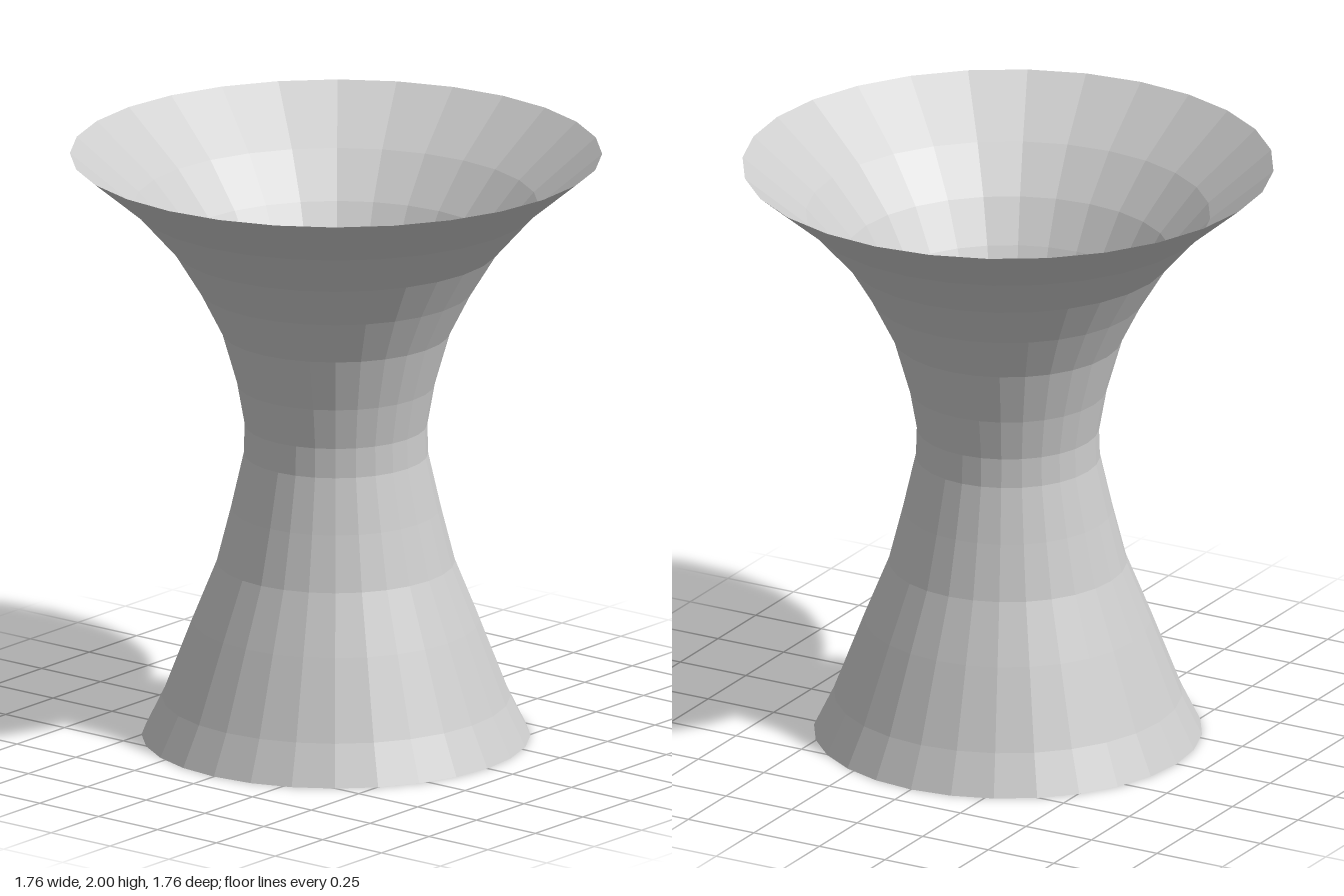
import * as THREE from 'three';

export function createModel() {
  const group = new THREE.Group();
  group.name = 'flaredStand';

  // Open, thin-walled hourglass shell: [radius, height] from foot to rim
  const profile = [
    [0.643, 0], [0.577, 0.135], [0.475, 0.4], [0.394, 0.6], [0.347, 0.785],
    [0.305, 0.97], [0.302, 1.07], [0.327, 1.21], [0.379, 1.39], [0.455, 1.54],
    [0.541, 1.68], [0.67, 1.825], [0.88, 2],
  ].map(([r, y]) => new THREE.Vector2(r, y));

  const shell = new THREE.Mesh(
    new THREE.LatheGeometry(profile, 28),
    new THREE.MeshStandardMaterial({
      color: 0xcccccc,
      flatShading: true,
      side: THREE.DoubleSide,
    }),
  );
  shell.name = 'hourglassShell';
  group.add(shell);
  return group;
}
